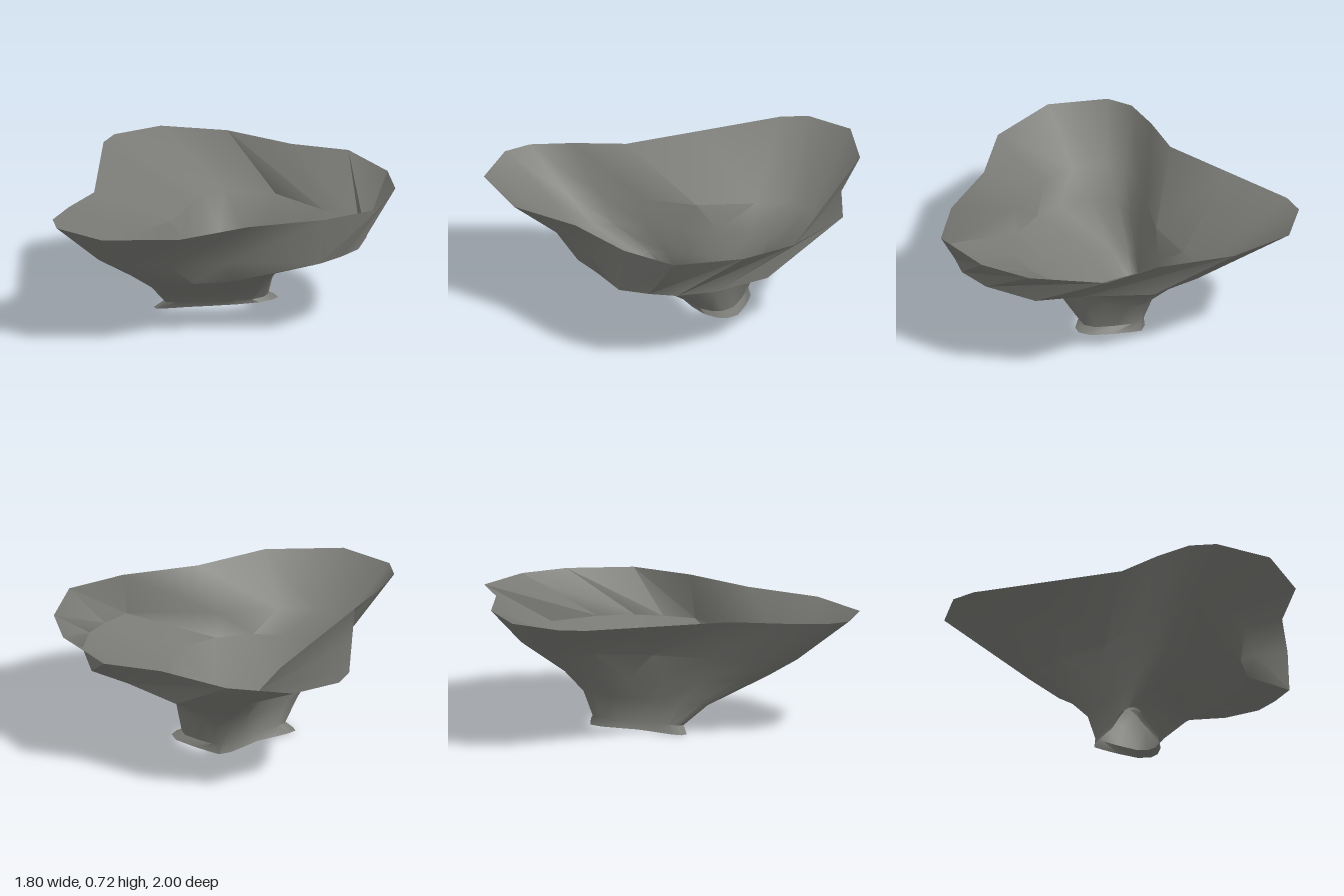
import * as THREE from 'three';
import { toCreasedNormals } from 'three/addons/utils/BufferGeometryUtils.js';

// Cross-section outlines as x, z pairs, starting at the back and running clockwise from above
const RIM = [-0.42, -1, -0.06, -0.94, 0.3, -0.72, 0.61, -0.63, 0.84, -0.28, 0.9, 0.02,
  0.83, 0.39, 0.55, 0.585, 0.15, 0.73, -0.2, 0.965, -0.62, 1, -0.875, 0.8,
  -0.905, 0.65, -0.83, 0.43, -0.71, 0.17, -0.71, -0.25, -0.71, -0.7, -0.66, -0.84];
const SHOULDER = [-0.06, -0.66, 0.22, -0.61, 0.49, -0.34, 0.69, -0.18, 0.75, 0.13, 0.72, 0.34,
  0.64, 0.47, 0.53, 0.605, 0.03, 0.62, -0.28, 0.7, -0.5, 0.7, -0.66, 0.6,
  -0.7, 0.5, -0.65, 0.34, -0.5, 0.15, -0.32, -0.1, -0.22, -0.4, -0.17, -0.59];
const WAIST = [-0.07, -0.45, 0.06, -0.43, 0.17, -0.33, 0.25, -0.19, 0.28, -0.05, 0.3, 0.1,
  0.3, 0.25, 0.25, 0.42, 0.05, 0.57, -0.15, 0.62, -0.32, 0.62, -0.46, 0.53,
  -0.54, 0.4, -0.53, 0.3, -0.44, 0.14, -0.33, -0.03, -0.24, -0.2, -0.17, -0.36];
const NECK = [-0.06, -0.26, -0.01, -0.295, 0.04, -0.265, 0.11, -0.215, 0.19, -0.145, 0.21, -0.08,
  0.19, -0.03, 0.13, 0.02, 0.03, 0.05, -0.08, 0.065, -0.19, 0.075, -0.27, 0.09,
  -0.33, 0.085, -0.34, 0.05, -0.31, 0.01, -0.24, -0.05, -0.17, -0.11, -0.12, -0.18];

// Lifts an outline onto a slightly tilted plane
function ring(outline, height) {
  const points = [];
  for (let i = 0; i < outline.length; i += 2) {
    const x = outline[i], z = outline[i + 1];
    points.push(new THREE.Vector3(x, Math.max(0, height(x, z)), z));
  }
  return points;
}

// Joins successive closed rings, listed from bottom to top
function loft(rings) {
  const n = rings[0].length, index = [];
  for (let r = 0; r < rings.length - 1; r++) {
    for (let i = 0; i < n; i++) {
      const j = (i + 1) % n;
      const a = r * n + i, b = r * n + j, c = a + n, d = b + n;
      index.push(a, c, b, b, c, d);
    }
  }
  const geometry = new THREE.BufferGeometry().setFromPoints(rings.flat());
  geometry.setIndex(index);
  return toCreasedNormals(geometry, 0.8);
}

export function createModel() {
  const stone = new THREE.MeshStandardMaterial({ color: 0x787874, side: THREE.DoubleSide });
  stone.name = 'dark grey stone';

  // The foot flares sideways from the neck; the throat lies between neck and waist
  const foot = NECK.map((v, i) => (i % 2 ? -0.01 + v : -0.06 + (v + 0.06) * 1.2));
  const throat = NECK.map((v, i) => v + (WAIST[i] - v) * 0.34);

  const shell = new THREE.Mesh(loft([
    ring(foot, (x) => 0.018 + 0.045 * x),
    ring(NECK, (x, z) => 0.045 - 0.06 * z),
    ring(throat, (x, z) => 0.17 - 0.1 * z),
    ring(WAIST, (x, z) => 0.303 - 0.02 * z),
    ring(SHOULDER, (x, z) => 0.435 - 0.04 * z),
    ring(RIM, (x, z) => 0.675 - 0.045 * z),
  ]), stone);
  shell.name = 'funnelShell';

  const model = new THREE.Group();
  model.name = 'openFunnel';
  model.add(shell);
  return model;
}
